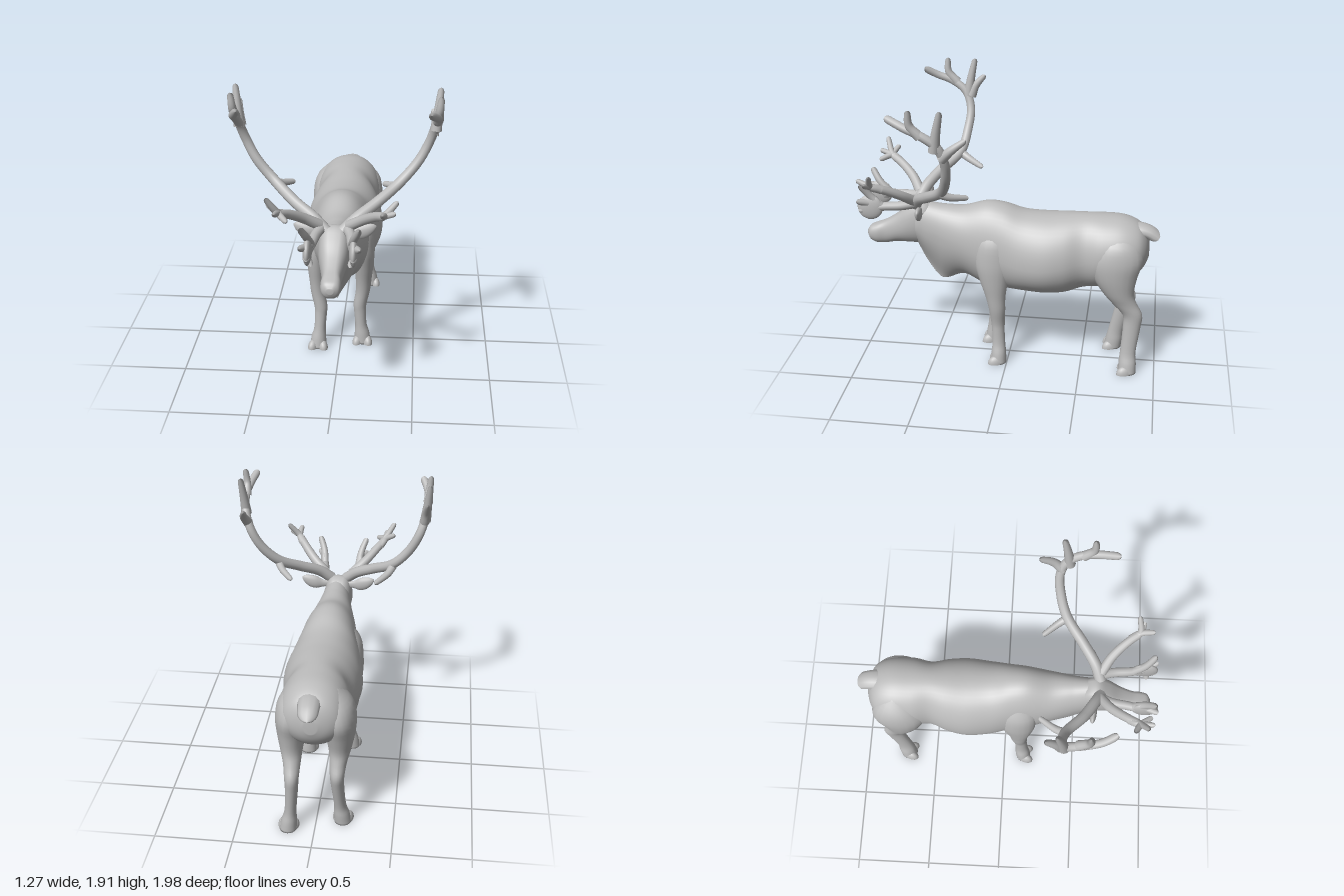
import * as THREE from 'three';

const coat = new THREE.MeshStandardMaterial({ color: 0xbcbcbc });
coat.name = 'plain grey';

function add(parent, name, geometry) {
  const mesh = new THREE.Mesh(geometry, coat);
  mesh.name = name;
  parent.add(mesh);
  return mesh;
}

// Catmull-Rom value between b and c
function blend(a, b, c, d, t) {
  const cubic = 3 * (b - c) + d - a;
  const square = 2 * a - 5 * b + 4 * c - d;
  return b + 0.5 * t * (c - a + t * (square + t * cubic));
}

// Smooth interpolation of every column of a section table
function refine(rows, steps) {
  const out = [];
  const end = rows.length - 1;
  for (let i = 0; i < end; i++) {
    const a = rows[Math.max(i - 1, 0)], b = rows[i], c = rows[i + 1], d = rows[Math.min(i + 2, end)];
    for (let k = 0; k < steps; k++) {
      out.push(b.map((v, n) => blend(a[n], v, c[n], d[n], k / steps)));
    }
  }
  out.push(rows[end]);
  return out;
}

// Closed skin through rings; point(row, cos, sin) gives [x, y, z]
function loft(rows, point, sides = 32, steps = 4) {
  const rings = refine(rows, steps), pos = [], index = [];
  for (const row of rings) {
    for (let j = 0; j < sides; j++) {
      const a = (j / sides) * Math.PI * 2;
      pos.push(...point(row, Math.cos(a), Math.sin(a)));
    }
  }
  const last = (rings.length - 1) * sides, c0 = last + sides;
  for (const base of [0, last]) {
    const sum = [0, 0, 0];
    for (let j = 0; j < sides * 3; j++) sum[j % 3] += pos[base * 3 + j] / sides;
    pos.push(...sum);
  }
  for (let j = 0; j < sides; j++) {
    const k = (j + 1) % sides;
    for (let i = 0; i < last; i += sides) {
      index.push(i + j, i + k, i + sides + j, i + k, i + sides + k, i + sides + j);
    }
    index.push(c0, k, j, c0 + 1, last + j, last + k);
  }
  const g = new THREE.BufferGeometry();
  g.setAttribute('position', new THREE.Float32BufferAttribute(pos, 3));
  g.setIndex(index);
  g.computeVertexNormals();
  return g;
}

// Tapered tube with a rounded tip
function horn(points, r0, r1) {
  const curve = new THREE.CatmullRomCurve3(points.map((p) => new THREE.Vector3(...p)));
  const length = curve.getLength(), seg = Math.ceil(length / 0.007), sides = 12;
  const g = new THREE.TubeGeometry(curve, seg, 1, sides);
  const pos = g.attributes.position, v = new THREE.Vector3();
  for (let i = 0; i <= seg; i++) {
    const t = i / seg, c = curve.getPointAt(t);
    const cap = Math.max(0, 1 - ((1 - t) * length) / (r1 * 1.4));
    const r = (r0 + (r1 - r0) * t) * Math.sqrt(1 - cap * cap);
    for (let j = 0; j <= sides; j++) {
      const n = i * (sides + 1) + j;
      v.fromBufferAttribute(pos, n).sub(c).multiplyScalar(r).add(c);
      pos.setXYZ(n, v.x, v.y, v.z);
    }
  }
  return g;
}

// Sections: z, top, widest height, bottom, half width, keel sharpness
const bodyRows = [
  [-0.925, 0.89, 0.85, 0.8, 0.04, 1], [-0.9, 0.97, 0.85, 0.74, 0.12, 1],
  [-0.85, 1.03, 0.85, 0.68, 0.18, 1], [-0.75, 1.068, 0.84, 0.62, 0.215, 1],
  [-0.62, 1.075, 0.82, 0.58, 0.222, 1], [-0.5, 1.075, 0.8, 0.56, 0.203, 1],
  [-0.38, 1.07, 0.77, 0.52, 0.24, 1], [-0.25, 1.065, 0.75, 0.51, 0.258, 1],
  [-0.1, 1.075, 0.75, 0.515, 0.24, 1], [0.03, 1.115, 0.78, 0.52, 0.21, 1],
  [0.15, 1.125, 0.8, 0.53, 0.19, 1.05], [0.3, 1.085, 0.85, 0.59, 0.16, 1.4],
  [0.42, 1.085, 0.88, 0.55, 0.13, 2.2], [0.48, 1.09, 0.9, 0.56, 0.115, 2.8],
  [0.56, 1.1, 0.92, 0.67, 0.1, 2.8], [0.62, 1.1, 0.95, 0.79, 0.09, 2], [0.66, 1.05, 0.96, 0.88, 0.05, 1],
];
const headRows = [
  [0.5, 1.06, 0.95, 0.84, 0.07, 1], [0.55, 1.105, 0.96, 0.8, 0.09, 1],
  [0.61, 1.118, 0.96, 0.8, 0.098, 1], [0.68, 1.07, 0.94, 0.8, 0.092, 1],
  [0.76, 1.0, 0.9, 0.8, 0.073, 1], [0.84, 0.95, 0.87, 0.785, 0.059, 0.9],
  [0.9, 0.925, 0.86, 0.785, 0.062, 0.8], [0.945, 0.905, 0.86, 0.805, 0.052, 0.8],
  [0.967, 0.875, 0.86, 0.84, 0.02, 1],
];
// crown below 1 squares off the upper half
const trunkPoint = (crown) => ([z, top, mid, bottom, w, e], c, s) => [
  w * Math.sign(c) * Math.abs(c) ** (s < 0 ? e : crown),
  s > 0 ? mid + (top - mid) * s : mid + (mid - bottom) * s, z];

// Leg sections from the top down: y, x, z, x radius, z radius
const foreLeg = [
  [1.02, 0.09, 0.08, 0.03, 0.05], [0.9, 0.125, 0.09, 0.08, 0.12], [0.75, 0.147, 0.09, 0.08, 0.125],
  [0.62, 0.155, 0.085, 0.067, 0.095], [0.5, 0.155, 0.075, 0.054, 0.067], [0.4, 0.15, 0.065, 0.048, 0.055],
  [0.3, 0.132, 0.062, 0.044, 0.047], [0.24, 0.132, 0.06, 0.041, 0.043], [0.14, 0.138, 0.056, 0.039, 0.044],
  [0.07, 0.146, 0.055, 0.05, 0.05], [0, 0.15, 0.055, 0.056, 0.052],
];
const hindLeg = [
  [1.02, 0.09, -0.72, 0.04, 0.06], [0.93, 0.125, -0.72, 0.095, 0.14], [0.82, 0.145, -0.71, 0.105, 0.18],
  [0.7, 0.15, -0.71, 0.095, 0.148], [0.58, 0.15, -0.74, 0.072, 0.1], [0.5, 0.143, -0.785, 0.056, 0.08],
  [0.42, 0.14, -0.838, 0.046, 0.065], [0.32, 0.142, -0.836, 0.041, 0.058], [0.15, 0.153, -0.82, 0.038, 0.052],
  [0.07, 0.163, -0.82, 0.05, 0.058], [0, 0.17, -0.82, 0.056, 0.06],
];
// stride swings the lower leg forward
function leg(parent, name, rows, side, stride) {
  const group = new THREE.Group();
  group.name = name;
  const moved = rows.map(([y, x, z, rx, rz]) => [y, x * side, z + stride * Math.max(0, 1 - y / 0.75), rx, rz]);
  add(group, 'limb', loft(moved, ([y, x, z, rx, rz], c, s) => [x + rx * c, y, z + rz * s], 20));
  const [, x, z] = moved[moved.length - 1];
  // Cloven toes, splayed apart
  for (const t of [-1, 1]) {
    const toe = add(group, 'toe', new THREE.SphereGeometry(1, 16, 8, 0, Math.PI * 2, 0, Math.PI / 2));
    toe.scale.set(0.034, 0.055, 0.056);
    toe.position.set(x + t * 0.031, 0, z + 0.016);
    toe.rotation.y = t * 0.35;
    const sole = add(group, 'sole', new THREE.CircleGeometry(1, 16));
    sole.scale.set(0.034, 0.056, 1);
    sole.rotation.set(Math.PI / 2, 0, -t * 0.35);
    sole.position.copy(toe.position);
  }
  parent.add(group);
}

function antler(parent, side) {
  const group = new THREE.Group(), right = side < 0;
  group.name = right ? 'rightAntler' : 'leftAntler';
  const tine = (name, pts, r0, r1) => add(group, name, horn(pts.map(([x, y, z]) => [x * side, y, z]), r0, r1));
  const d = right ? 0.035 : 0;
  tine('mainBeam', [[0.05, 1.09, 0.62], [0.13, 1.16, 0.58], [0.25, 1.23, 0.49 + d / 2], [0.39, 1.325, 0.375 + d / 2],
    [0.5, 1.45, 0.325 + d], [0.565, 1.58, 0.315 + d], [0.597, 1.69, 0.355 + d], [0.607, 1.76, 0.45 + d],
    [0.595, 1.8, 0.55 + d], [0.562, 1.85, 0.67]], 0.038, 0.024);
  tine('rearTine', [[0.39, 1.31, 0.39], [0.36, 1.28, 0.33], [0.28, 1.25, 0.225]], 0.028, 0.017);
  tine('crownTine', [[0.605, 1.75, 0.45], [0.61, 1.82, 0.51], [0.62, 1.915, 0.515]], 0.032, 0.018);
  tine('crownTine', [[0.595, 1.66, 0.37], [0.605, 1.77, 0.355], [0.62, 1.915, 0.325]], 0.036, 0.018);
  tine('crownTine', right
    ? [[0.59, 1.66, 0.35], [0.6, 1.73, 0.32], [0.61, 1.805, 0.255]]
    : [[0.58, 1.61, 0.33], [0.595, 1.67, 0.27], [0.58, 1.735, 0.18]], 0.034, 0.017);

  // Forked second branch
  tine('secondBranch', [[0.09, 1.13, 0.62], [0.18, 1.2, 0.685], [0.26, 1.265, 0.78], [0.31, 1.3, 0.86]], 0.034, 0.026);
  const forks = right
    ? [[0.375, 1.41, 0.9], [0.38, 1.35, 0.82], [0.25, 1.28, 0.935], [0.32, 1.33, 0.945]]
    : [[0.385, 1.39, 0.84], [0.375, 1.33, 0.88], [0.3, 1.34, 0.945]];
  for (const f of forks) tine('forkTip', [[0.275, 1.27, 0.79], [0.305, 1.3, 0.85], f], 0.026, 0.016);

  // Flattened brow palm with fingers
  tine('browBranch', [[0.08, 1.11, 0.62], [0.105, 1.1, 0.7], [0.118, 1.095, 0.8], [0.135, 1.09, 0.9]], 0.032, 0.028);
  const palm = add(group, 'browPalm', new THREE.SphereGeometry(1, 20, 14));
  palm.scale.set(0.027, 0.085, 0.085);
  palm.position.set(0.135 * side, 1.09, 0.908);
  for (const f of [[0.17, 1.255, 0.965], [0.175, 1.14, 0.99], [0.135, 1.06, 0.99], [0.112, 1.0, 0.93]]) {
    tine('browFinger', [[0.122, 1.095, 0.83], [0.135, 1.1 + (f[1] - 1.1) * 0.45, 0.905], f], 0.027, 0.02);
  }
  parent.add(group);
}

// Leaf-shaped ear sections: x, y, radius
const earRows = [[0.06, 1.06, 0.02], [0.11, 1.063, 0.028], [0.155, 1.07, 0.046],
  [0.2, 1.08, 0.044], [0.235, 1.095, 0.028], [0.253, 1.105, 0.006]];

export function createModel() {
  const model = new THREE.Group();
  model.name = 'antleredDeer';

  add(model, 'body', loft(bodyRows, trunkPoint(0.95), 48, 5)).position.x = 0.009;
  add(model, 'head', loft(headRows, trunkPoint(0.6), 32, 5));
  const tail = add(model, 'tail', horn([[0, 0.97, -0.76], [0, 0.985, -0.85], [0, 0.97, -0.92], [0, 0.925, -0.985]], 0.055, 0.038));
  tail.scale.x = 1.5;
  tail.position.x = 0.02;

  for (const side of [-1, 1]) {
    const prefix = side > 0 ? 'left' : 'right';
    leg(model, prefix + 'ForeLeg', foreLeg, side, side < 0 ? 0.085 : 0);
    leg(model, prefix + 'HindLeg', hindLeg, side, side < 0 ? 0.115 : 0);
    antler(model, side);
    const ear = loft(earRows, ([x, y, r], c, s) => [x, y + r * c, 0.59 + 0.5 * r * s - x * 0.08], 16);
    add(model, prefix + 'Ear', ear).scale.x = side;
  }
  return model;
}
